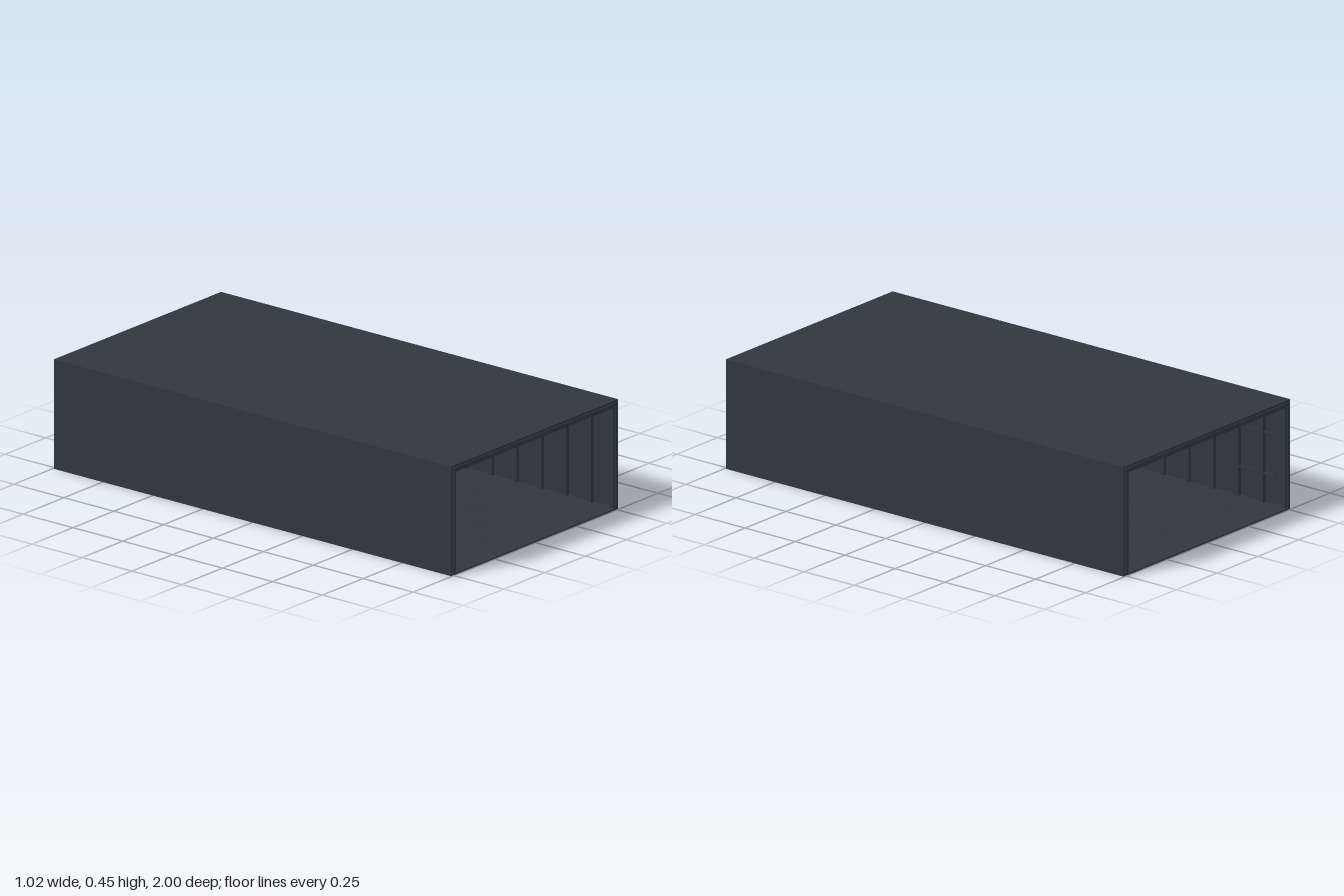
import * as THREE from 'three';

export function createModel() {
  const model = new THREE.Group();
  const slate = new THREE.MeshStandardMaterial({ color: 0x2f383e });
  slate.name = 'dark slate';

  function box(name, w, h, d, x, y, z) {
    const mesh = new THREE.Mesh(new THREE.BoxGeometry(w, h, d), slate);
    mesh.name = name;
    mesh.position.set(x, y, z);
    model.add(mesh);
    return mesh;
  }

  // Outer shell, open at both ends
  box('floor', 1.024, 0.008, 1.99, 0, 0.004, 0);
  box('roof', 1.024, 0.014, 1.99, 0, 0.443, 0);
  for (const s of [-1, 1]) box('sideWall', 0.014, 0.428, 1.99, s * 0.505, 0.222, 0);

  // Stepped frames around both openings
  for (const e of [-1, 1]) {
    for (const s of [-1, 1]) {
      box('endPost', 0.017, 0.43, 0.02, s * 0.4895, 0.223, e * 0.985);
      box('endPostTrim', 0.012, 0.436, 0.012, s * 0.496, 0.222, e * 0.994);
    }
    box('endLintel', 0.98, 0.018, 0.02, 0, 0.429, e * 0.985);
    box('endLintelTrim', 0.99, 0.012, 0.012, 0, 0.435, e * 0.994);
    box('sill', 0.99, 0.006, 0.012, 0, 0.005, e * 0.994);
  }

  // Wall ribs and the ceiling beams that join them
  for (let i = 1; i < 16; i++) {
    const z = -1 + i * 0.125;
    for (const s of [-1, 1]) box('wallRib', 0.017, 0.43, 0.018, s * 0.4905, 0.222, z);
    box('ceilingBeam', 0.98, 0.014, 0.016, 0, 0.43, z);
  }

  // Lengthwise ceiling beams
  for (const x of [-0.32, -0.16, 0.16, 0.32]) {
    box('ceilingRunner', 0.016, 0.014, 1.96, x, 0.43, 0);
  }
  box('ceilingRidge', 0.036, 0.02, 1.94, 0, 0.427, 0);

  // Shallow floor seams, staggered between rows
  for (let row = 0; row < 5; row++) {
    const x = -0.32 + row * 0.16;
    box('floorSeam', 0.004, 0.001, 1.96, x, 0.0084, 0);
    for (let j = 0; j < 7; j++) {
      const z = -0.8 + j * 0.25 + (row % 2) * 0.125;
      box('floorJoint', 0.16, 0.001, 0.004, x, 0.0084, z);
    }
  }

  // Rails across the ribs near the back opening
  for (const s of [-1, 1]) {
    for (const y of [0.13, 0.3]) box('wallRail', 0.008, 0.008, 0.24, s * 0.486, y, -0.82);
  }

  // Thin hanging plate
  box('hangingPlate', 0.096, 0.003, 0.05, -0.337, 0.333, 0);

  return model;
}
